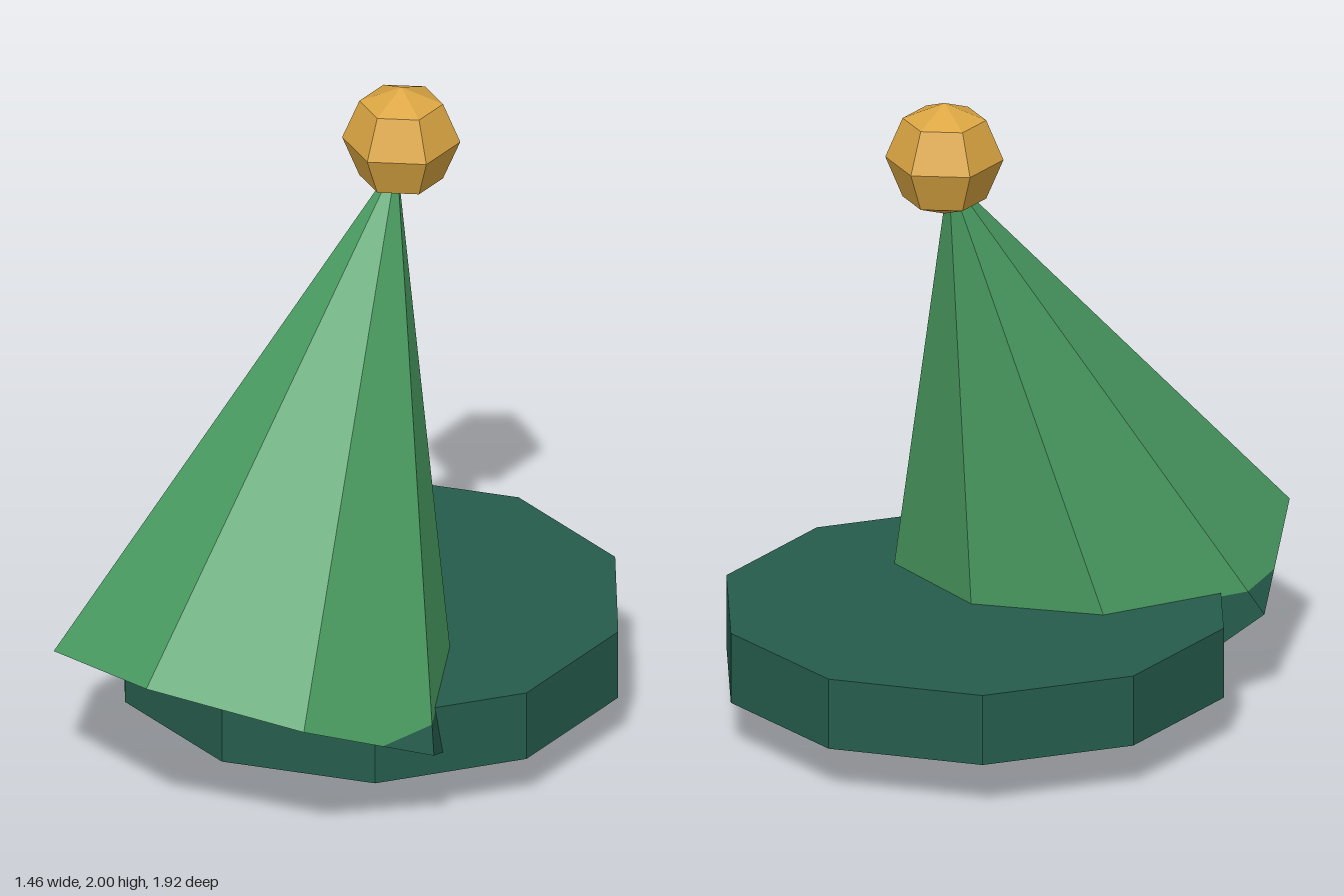
import * as THREE from 'three';

const material = (name, color) => Object.assign(
  new THREE.MeshStandardMaterial({ color, flatShading: true }), { name });

// Keeps the part of a triangle above (side = 1) or below (side = -1) a level
function clipTriangle(tri, level, side) {
  const poly = [];
  tri.forEach((a, i) => {
    const b = tri[(i + 1) % 3];
    const da = side * (a.y - level), db = side * (b.y - level);
    if (da >= 0) poly.push(a);
    if (da * db < 0) poly.push(a.clone().lerp(b, da / (da - db)));
  });
  const out = [];
  for (let i = 1; i + 1 < poly.length; i++) out.push(poly[0], poly[i], poly[i + 1]);
  return out;
}

export function createModel() {
  const group = new THREE.Group();
  const green = material('leaf green', 0x4a9c62);
  const teal = material('deep teal', 0x255c4c);
  const gold = material('gold', 0xdca643);

  const add = (name, geometry, mat, x = 0, y = 0, z = 0) => {
    const mesh = new THREE.Mesh(geometry, mat);
    mesh.name = name;
    mesh.position.set(x, y, z);
    group.add(mesh);
  };

  // Ten-sided brim
  add('brim', new THREE.CylinderGeometry(0.765, 0.765, 0.22, 10), teal, 0, 0.26, -0.195);

  // Eight-sided cone leaning back, with its foot in the brim colour
  const height = 1.65;
  const cone = new THREE.ConeGeometry(0.636, height, 8).toNonIndexed();
  cone.translate(0, height / 2, 0).rotateX(-0.452).translate(0, 0.2825, 0.3875);
  const pos = cone.getAttribute('position');
  const corner = i => new THREE.Vector3().fromBufferAttribute(pos, i);
  for (const [name, side, mat] of [['cone', 1, green], ['coneFoot', -1, teal]]) {
    const points = [];
    for (let i = 0; i < pos.count; i += 3)
      points.push(...clipTriangle([corner(i), corner(i + 1), corner(i + 2)], 0.36, side));
    const geometry = new THREE.BufferGeometry().setFromPoints(points);
    geometry.computeVertexNormals();
    add(name, geometry, mat);
  }

  // Faceted ball on the tip
  add('pompom', new THREE.SphereGeometry(0.175, 6, 4).rotateY(Math.PI / 2), gold, 0, 1.825, -0.355);

  return group;
}
